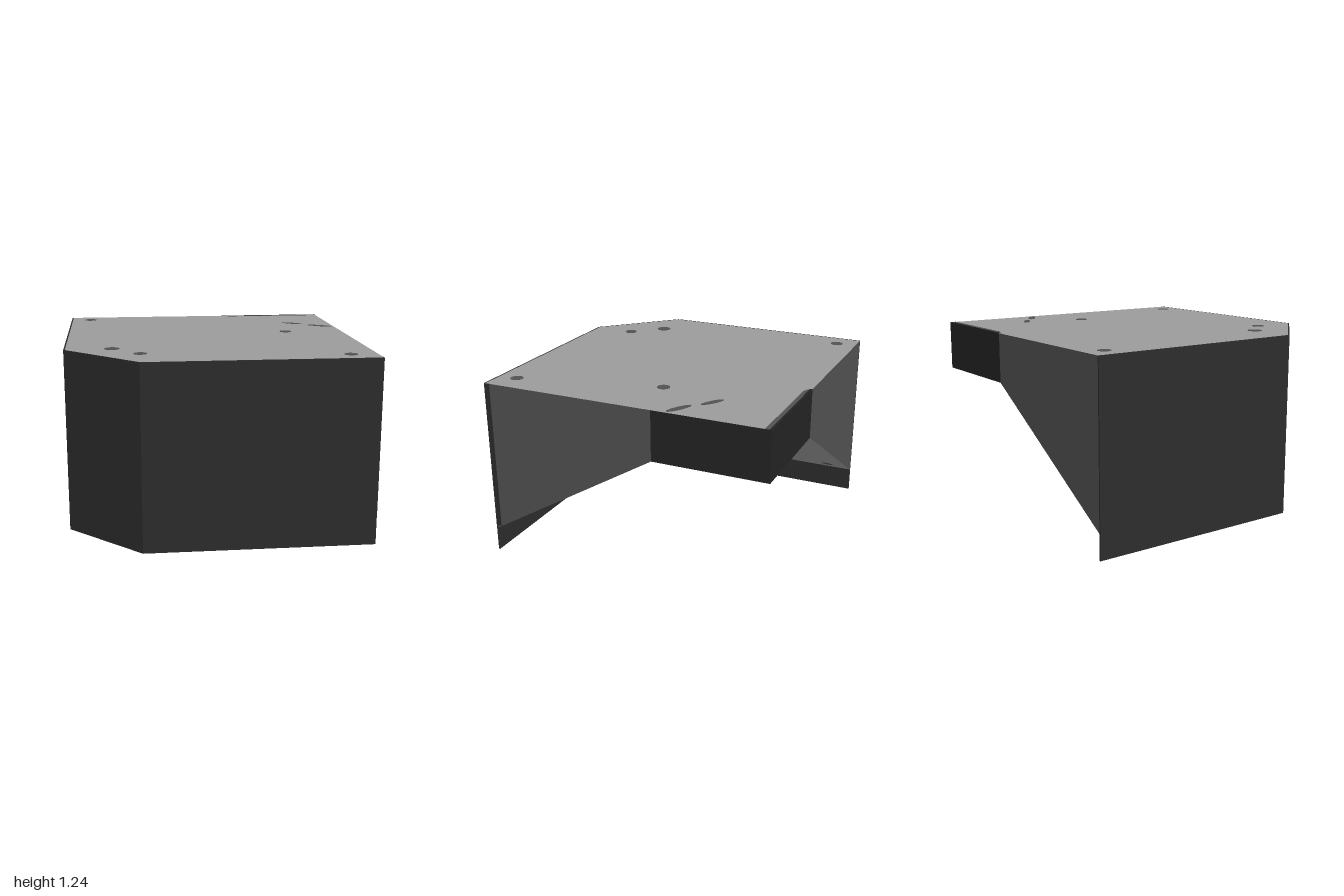
import * as THREE from 'three';

const TOP = 1.24, LIP = 0.17, STEP = 0.9;

// The cover is symmetric about its diagonal: swap the two open ends
const swap = ([x, y, z]) => [-z, y, -x];
const mirrored = (poly) => poly.map(swap).reverse();

// Flat convex polygons, each fanned into triangles
function polygons(polys) {
  const pos = [];
  for (const p of polys)
    for (let i = 1; i < p.length - 1; i++) pos.push(...p[0], ...p[i], ...p[i + 1]);
  const g = new THREE.BufferGeometry();
  g.setAttribute('position', new THREE.Float32BufferAttribute(pos, 3));
  g.computeVertexNormals();
  return g;
}

// Plan outline in x, z extruded downward from height y
function plate(outline, y, depth, hole) {
  const v = (list) => list.map(([x, z]) => new THREE.Vector2(x, z));
  const s = new THREE.Shape(v(outline));
  if (hole) s.holes.push(new THREE.Path(v(hole)));
  const g = new THREE.ExtrudeGeometry(s, { depth, bevelEnabled: false });
  g.rotateX(Math.PI / 2);
  g.translate(0, y, 0);
  return g;
}

export function createModel() {
  const group = new THREE.Group();
  const material = (name, color) => {
    const m = new THREE.MeshStandardMaterial({ color, side: THREE.DoubleSide });
    m.name = name;
    return m;
  };
  const light = material('light grey', 0x9b9b9b);
  const mid = material('mid grey', 0x525252);
  const dark = material('charcoal', 0x2c2c2c);
  const black = material('near black', 0x242424);
  const add = (name, geometry, mat) => {
    const m = new THREE.Mesh(geometry, mat);
    m.name = name;
    group.add(m);
    return m;
  };

  // Flat top and three sloping undersides
  const top = [[1, TOP, 0.99], [1, TOP, -1], [-0.99, TOP, -1], [-0.99, TOP, 0.516], [-0.516, TOP, 0.99]];
  const slope = [[1, LIP, 0.99], [-0.516, LIP, 0.99], [0.44, STEP, -0.22], [1, STEP, -0.22]];
  const cornerSlope = [[-0.516, LIP, 0.99], [-0.99, LIP, 0.516], [0.22, STEP, -0.44], [0.44, STEP, -0.22]];
  add('topAndSlopes', polygons([top, slope, mirrored(slope), cornerSlope]), light);

  // End faces between the top and the slopes
  const end = [[1, LIP, 0.99], [1, STEP, -0.22], [1, TOP, -0.22], [1, TOP, 0.99]];
  add('endFaces', polygons([end, mirrored(end)]), mid);

  // Thin outer wall round the closed sides, reaching the floor
  add('outerWall', plate([
    [1, 1], [-0.52, 1], [-1, 0.52], [-1, -1],
    [-0.99, -1], [-0.99, 0.516], [-0.516, 0.99], [1, 0.99],
  ], TOP, TOP), dark);
  add('wallFlange', new THREE.BoxGeometry(0.004, TOP - 0.19, 0.04).translate(0.999, (TOP + 0.19) / 2, 0.98), dark);

  // Raised corner tray: side faces, bottom rim and recessed floor
  const side = [[1, STEP, -0.22], [1, STEP, -1], [1, TOP, -1], [1, TOP, -0.22]];
  add('traySides', polygons([side, mirrored(side)]), black);
  add('trayRim', plate(
    [[0.999, -0.999], [0.999, -0.22], [0.44, -0.22], [0.22, -0.44], [0.22, -0.999]], STEP + 0.02, 0.02,
    [[0.91, -0.89], [0.89, -0.91], [0.33, -0.91], [0.3, -0.88], [0.3, -0.48], [0.48, -0.3], [0.88, -0.3], [0.91, -0.33]],
  ), mid);
  add('trayFloor', plate([[0.95, -0.95], [0.95, -0.26], [0.45, -0.26], [0.26, -0.45], [0.26, -0.95]],
    STEP + 0.025, 0.005), light);
  add('trayEdge', plate([[0.235, -0.985], [1, -0.985], [1, -0.957], [0.29, -0.957], [0.25, -0.97]],
    TOP + 0.0015, 0.003), mid);
  add('trayEdgeTrim', plate([[0.22, -1], [1, -1], [1, -0.985], [0.235, -0.985]], TOP + 0.0015, 0.003), black);

  // Screw discs laid flat on a surface
  const disc = (name, p, normal, r = 0.043) => {
    const m = add(name, new THREE.CylinderGeometry(r, r, 0.004, 24), mid);
    m.position.set(...p);
    m.quaternion.setFromUnitVectors(new THREE.Vector3(0, 1, 0), new THREE.Vector3(...normal).normalize());
  };
  for (const [x, z, r] of [[-0.85, -0.86], [0.585, -0.11], [-0.685, 0.5, 0.05], [-0.505, 0.7], [0.825, 0.86]])
    disc('topScrew', [x, TOP, z], [0, 1, 0], r);

  const rise = STEP - LIP, run = 1.21, cornerRun = 1.53;
  for (const [x, z] of [[0.845, 0.865], [0.56, -0.087]]) {
    const p = [x, LIP + (0.99 - z) * rise / run, z], n = [0, -run, -rise];
    disc('slopeScrew', p, n);
    disc('slopeScrew', swap(p), swap(n));
  }
  for (const [x, z] of [[-0.72, 0.53], [-0.53, 0.72]]) {
    const y = LIP + (x - z + 1.506) / Math.SQRT2 * rise / cornerRun;
    disc('cornerScrew', [x, y, z], [rise / Math.SQRT2, -cornerRun, -rise / Math.SQRT2]);
  }
  for (const [x, z] of [[0.84, -0.36], [0.36, -0.84]])
    disc('trayScrew', [x, STEP + 0.02, z], [0, -1, 0], 0.035);

  // Slim slots in the top: x, z, half length, half width, turn
  for (const [x, z, a, b, turn] of [
    [0.715, -0.51, 0.085, 0.022, -0.58], [0.9, -0.365, 0.095, 0.025, -0.52],
  ]) {
    const m = add('topSlot', new THREE.CylinderGeometry(1, 1, 0.004, 20).scale(a, 1, b), mid);
    m.position.set(x, TOP, z);
    m.rotation.y = turn;
  }
  return group;
}
